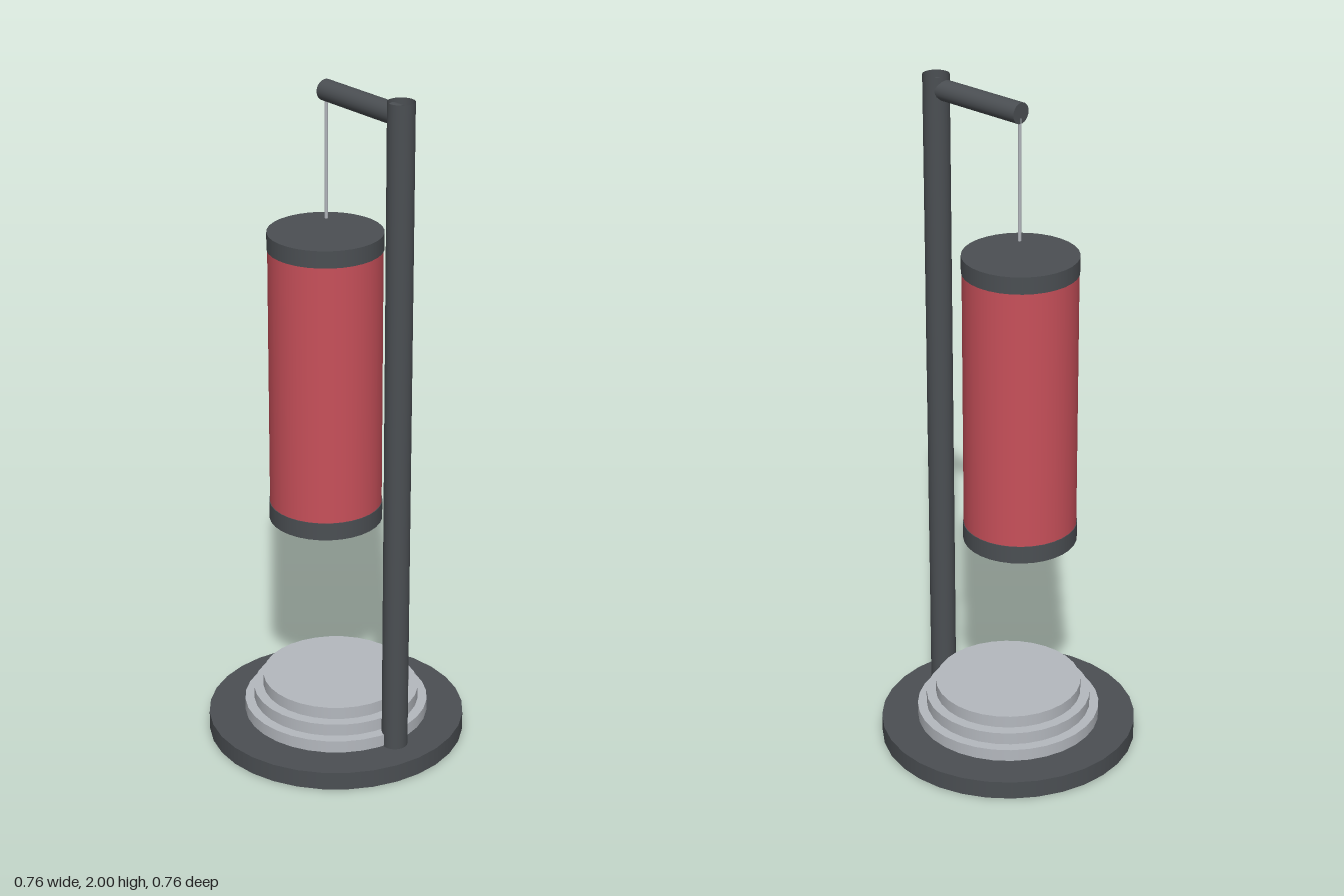
import * as THREE from 'three';

const dark = new THREE.MeshStandardMaterial({ color: 0x4b4f53 });
const darkOpen = new THREE.MeshStandardMaterial({ color: 0x4b4f53, side: THREE.DoubleSide });
const pale = new THREE.MeshStandardMaterial({ color: 0xb4b8be });
const red = new THREE.MeshStandardMaterial({ color: 0xc8505a });

const POST_Z = 0.272;
const BAG_Z = -0.047;

export function createModel() {
  const model = new THREE.Group();
  model.name = 'hangingBagStand';

  // Upright cylinder from y0 to y1, centred on x = 0
  const column = (name, radius, y0, y1, z, material, segments = 32, open = false) => {
    const geometry = new THREE.CylinderGeometry(radius, radius, y1 - y0, segments, 1, open);
    const mesh = new THREE.Mesh(geometry, material);
    mesh.name = name;
    mesh.position.set(0, (y0 + y1) / 2, z);
    model.add(mesh);
    return mesh;
  };

  // Base plate with stacked weight discs
  column('basePlate', 0.38, 0, 0.055, 0, dark);
  column('weightCore', 0.2, 0.055, 0.15, 0, pale);
  [0.272, 0.245, 0.217].forEach((radius, i) => {
    const y = 0.058 + i * 0.04;
    column(`weightDisc${i + 1}`, radius, y, y + 0.037, 0, pale);
  });

  // Open-topped tubular post
  column('post', 0.038, 0.055, 2, POST_Z, darkOpen, 24, true);

  // Arm reaching back from the post to above the bag
  const arm = column('arm', 0.03, 0, POST_Z - BAG_Z, 0, dark, 24);
  arm.rotation.x = Math.PI / 2;
  arm.position.set(0, 1.96, (POST_Z + BAG_Z) / 2);

  // Hanging cord
  column('cord', 0.005, 1.593, 1.945, BAG_Z + 0.004, pale, 8);

  // Bag with end caps
  column('bagBody', 0.163, 0.7, 1.53, BAG_Z, red);
  column('bagTopCap', 0.165, 1.503, 1.553, BAG_Z, dark);
  column('bagBottomCap', 0.165, 0.675, 0.728, BAG_Z, dark);

  return model;
}
